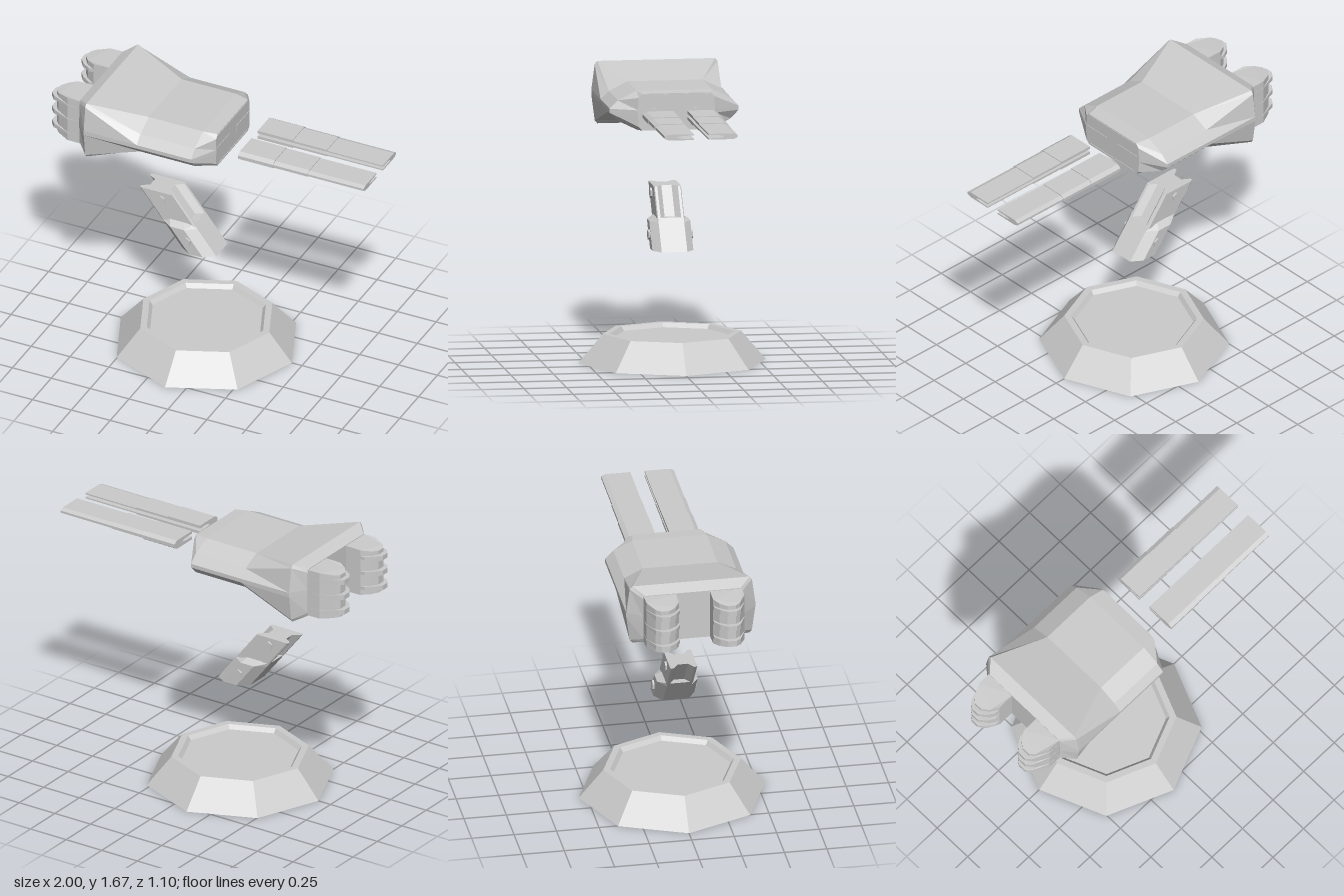
import * as THREE from 'three';

const material = new THREE.MeshStandardMaterial({ color: 0xcccccc, flatShading: true });

function add(parent, name, geometry) {
  const mesh = new THREE.Mesh(geometry, material);
  mesh.name = name;
  parent.add(mesh);
  return mesh;
}

// Skin a list of equal-length rings of [x, y, z]; capAxes are the two axes used to fill the ends.
function loft(rings, capAxes) {
  const n = rings[0].length;
  const positions = rings.flat(2);
  let faces = [];
  for (let r = 0; r < rings.length - 1; r++) {
    for (let i = 0; i < n; i++) {
      const a = r * n + i, b = r * n + (i + 1) % n;
      faces.push([a, b, b + n], [a, b + n, a + n]);
    }
  }
  const cap = (ring, offset, wantReversed) => {
    const flat = ring.map(p => new THREE.Vector2(p[capAxes[0]], p[capAxes[1]]));
    // triangulation follows the ring order when it is counter-clockwise
    const reversed = THREE.ShapeUtils.area(flat) < 0;
    if (reversed) flat.reverse();
    for (const t of THREE.ShapeUtils.triangulateShape(flat, [])) {
      let f = t.map(i => offset + (reversed ? n - 1 - i : i));
      if (reversed !== wantReversed) f = [f[0], f[2], f[1]];
      faces.push(f);
    }
  };
  cap(rings[0], 0, true);
  cap(rings.at(-1), (rings.length - 1) * n, false);

  // Turn the faces outward
  const v = i => new THREE.Vector3().fromArray(positions, i * 3);
  let volume = 0;
  for (const [a, b, c] of faces) volume += v(a).dot(v(b).cross(v(c)));
  if (volume < 0) faces = faces.map(([a, b, c]) => [a, c, b]);

  const geometry = new THREE.BufferGeometry();
  geometry.setAttribute('position', new THREE.Float32BufferAttribute(positions, 3));
  geometry.setIndex(faces.flat());
  const flat = geometry.toNonIndexed();
  flat.computeVertexNormals();
  return flat;
}

// Octagonal plinth with a shallow recess in its top
function buildBase(model) {
  const profile = [[0, 0], [0.55, 0], [0.405, 0.17], [0.365, 0.17], [0.345, 0.145], [0, 0.145]];
  const base = add(model, 'base', new THREE.LatheGeometry(profile.map(p => new THREE.Vector2(...p)), 8));
  base.position.x = -0.115;
}

// Slanted two-part arm with hexagonal bolts
function buildArm(model) {
  const arm = new THREE.Group();
  arm.name = 'arm';
  model.add(arm);
  const lean = y => -0.125 - (y - 0.655) * 0.785;
  const ring = (half, y) => {
    const all = [...half, ...half.map(([x, z]) => [x, -z]).reverse()];
    return all.map(([x, z]) => [lean(y) + x, y, z]);
  };
  const lower = [[-0.11, 0.075], [-0.045, 0.12], [0.045, 0.12], [0.11, 0.075]];
  const collar = [[-0.11, 0.07], [-0.045, 0.08], [0.045, 0.08], [0.11, 0.07]];
  add(arm, 'lowerArm', loft([ring(lower, 0.655), ring(lower, 0.81), ring(collar, 0.835)], [0, 2]));
  // The upper arm has a groove down its front and back
  const upper = [[-0.065, 0.03], [-0.11, 0.06], [-0.11, 0.075], [-0.1, 0.08],
    [0.1, 0.08], [0.11, 0.075], [0.11, 0.06], [0.065, 0.03]];
  add(arm, 'upperArm', loft([ring(upper, 0.82), ring(upper, 1.0)], [0, 2]));

  for (const side of [-1, 1]) {
    for (const [x, y, z] of [[-0.37, 0.95, 0.08], [-0.185, 0.735, 0.12]]) {
      const bolt = add(arm, 'bolt', new THREE.CylinderGeometry(0.03, 0.03, 0.03, 6));
      bolt.rotation.x = Math.PI / 2;
      bolt.position.set(x, y, side * (z - 0.004));
    }
  }
}

// Faceted hull, flared at the rear and narrowed at the nose
function buildBody(model) {
  const midY = 1.491;
  const section = (x, half) => {
    const quarter = half.map(([z, h]) => [x, midY + h, z]);
    const side = [...quarter, [x, midY, half.at(-1)[0]],
      ...half.map(([z, h]) => [x, midY - h, z]).reverse()];
    return [...side, ...side.map(([a, y, z]) => [a, y, -z]).reverse()];
  };
  const waist = [[0.22, 0.114], [0.33, 0.06], [0.378, 0.012]];
  add(model, 'body', loft([
    section(-0.79, [[0.28, 0.15], [0.292, 0.13], [0.295, 0.02]]),
    section(-0.72, [[0.345, 0.183], [0.36, 0.165], [0.38, 0.015]]),
    section(-0.38, waist),
    section(-0.03, waist),
    section(0.055, [[0.2, 0.108], [0.222, 0.085], [0.225, 0.012]]),
  ], [2, 1]));

  // Trim lines and barrel ports on the nose
  for (const side of [-1, 1]) {
    const port = add(model, 'barrelPort', new THREE.BoxGeometry(0.01, 0.045, 0.17));
    port.position.set(0.053, midY, side * 0.13);
    const trim = add(model, 'noseTrim', new THREE.BoxGeometry(0.01, 0.01, 0.38));
    trim.position.set(0.053, midY + side * 0.098, 0);
  }
}

// Rounded rear pods, each ringed by three fins
function buildPods(model) {
  const outline = [[-0.78, 0.1], [-0.92, 0.1], [-0.97, 0.13], [-1, 0.17],
    [-1, 0.22], [-0.975, 0.25], [-0.87, 0.29], [-0.78, 0.29]];
  const core = [[-0.78, 0.1], [-0.89, 0.1], [-0.94, 0.13], [-0.97, 0.17],
    [-0.97, 0.22], [-0.945, 0.25], [-0.87, 0.288], [-0.78, 0.29]];
  for (const side of [-1, 1]) {
    const pod = new THREE.Group();
    pod.name = 'rearPod';
    model.add(pod);
    // The top and bottom faces slope down toward the rounded end
    const podRing = sign => core.map(([x, z]) =>
      [x, 1.491 + sign * (0.146 - Math.max(0, -0.87 - x) * 0.12), side * z]);
    add(pod, 'podCore', loft([podRing(-1), podRing(1)], [0, 2]));
    for (const y of [1.395, 1.491, 1.587]) {
      // Fins thin out toward the body
      const finRing = sign => outline.map(([x, z]) =>
        [x, y + sign * THREE.MathUtils.clamp((-0.84 - x) * 0.14, 0.002, 0.015), side * z]);
      add(pod, 'podFin', loft([finRing(-1), finRing(1)], [0, 2]));
    }
  }
}

// Flat stepped barrels, hollow and open along the inner side
function buildBarrels(model) {
  const steps = [[0.195, 0.42, 0.027, 0.22], [0.42, 0.64, 0.022, 0.217], [0.64, 1, 0.017, 0.214]];
  for (const side of [-1, 1]) {
    const barrel = new THREE.Group();
    barrel.name = 'barrel';
    model.add(barrel);
    for (const [x0, x1, h, outer] of steps) {
      const upper = [[0.14, 0.003], [0.1, 0.009], [0.042, 0.009], [0.042, h], [outer - 0.025, h], [outer, h * 0.4]];
      const shape = [...upper, ...upper.map(([z, y]) => [z, -y]).reverse()];
      const ring = x => shape.map(([z, y]) => [x, 1.491 + y, side * z]);
      add(barrel, 'barrelSegment', loft([ring(x0), ring(x1)], [2, 1]));
    }
  }
}

export function createModel() {
  const model = new THREE.Group();
  model.name = 'turret';
  buildBase(model);
  buildArm(model);
  buildBody(model);
  buildPods(model);
  buildBarrels(model);
  return model;
}
